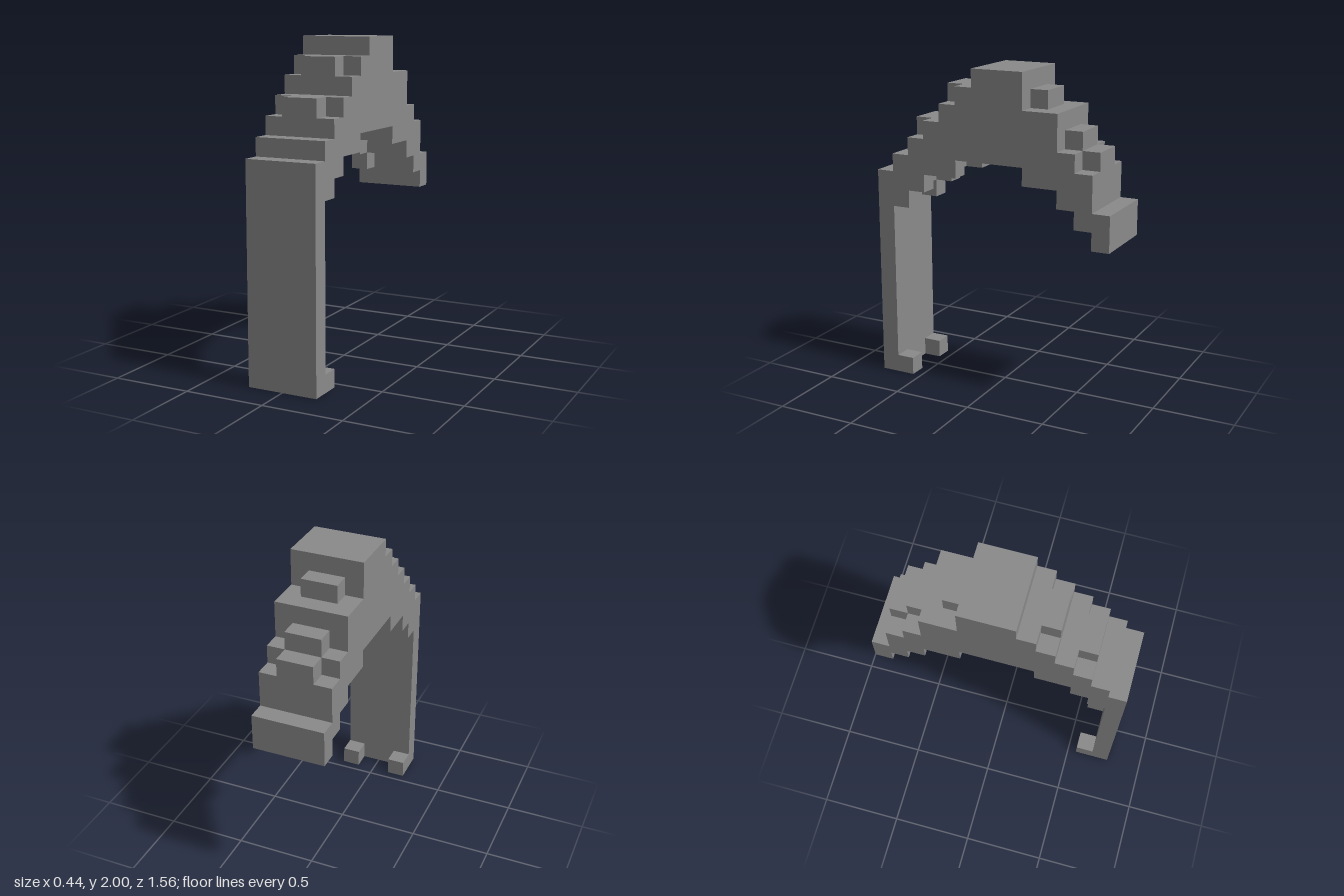
import * as THREE from 'three';

const U = 1 / 9; // size of one block

export function createModel() {
  const model = new THREE.Group();
  const grey = new THREE.MeshStandardMaterial({ color: 0x8a8a8a });
  grey.name = 'grey';

  function add(name, geometry) {
    const mesh = new THREE.Mesh(geometry, grey);
    mesh.name = name;
    model.add(mesh);
    return mesh;
  }

  // Box given by its limits in blocks
  function block(name, x0, x1, y0, y1, z0, z1) {
    const g = new THREE.BoxGeometry((x1 - x0) * U, (y1 - y0) * U, (z1 - z0) * U);
    add(name, g).position.set((x0 + x1) / 2 * U, (y0 + y1) / 2 * U, (z0 + z1) / 2 * U);
  }

  // Stepped arch with front leg: columns of [zBack, zFront, bottom, top]
  const columns = [
    [-6, -5, 11, 13], [-5, -4, 12, 14], [-4, -3, 12, 16], [-3, -2, 13, 16],
    [-2, 1, 13, 18], [1, 2, 13, 17], [2, 3, 13, 16], [3, 4, 12, 15],
    [4, 5, 12, 14], [5, 6, 11, 13], [6, 7, 0, 12],
  ];
  const lower = [], upper = [];
  for (const [z0, z1, bottom, top] of columns) {
    lower.push([z0, bottom], [z1, bottom]);
    upper.push([z0, top], [z1, top]);
  }
  const outline = [...lower, ...upper.reverse()]
    .filter((p, i, a) => i === 0 || p[0] !== a[i - 1][0] || p[1] !== a[i - 1][1])
    .map(([z, y]) => new THREE.Vector2(z * U, y * U));
  const arch = new THREE.ExtrudeGeometry(new THREE.Shape(outline), { depth: 4 * U, bevelEnabled: false });
  arch.translate(0, 0, -2 * U).rotateY(-Math.PI / 2);
  add('archAndFrontLeg', arch);

  // Rear end plate
  block('rearPlate', -2, 2, 9, 11, -7, -6);

  // Raised middle blocks along the top: [y, z]
  for (const [y, z] of [[14, 4], [16, 2], [16, -3], [14, -5], [13, -6]]) {
    block('ridgeBlock', -1, 1, y, y + 1, z, z + 1);
  }

  // Paired corner blocks under the arch and behind the foot: [y, z]
  for (const [y, z] of [[0, 5], [10, 5], [11, 4], [12, 2], [12, -3], [11, -5], [10, -6]]) {
    const name = y === 0 ? 'footBlock' : 'undersideBlock';
    block(name, 1, 2, y, y + 1, z, z + 1);
    block(name, -2, -1, y, y + 1, z, z + 1);
  }

  return model;
}
